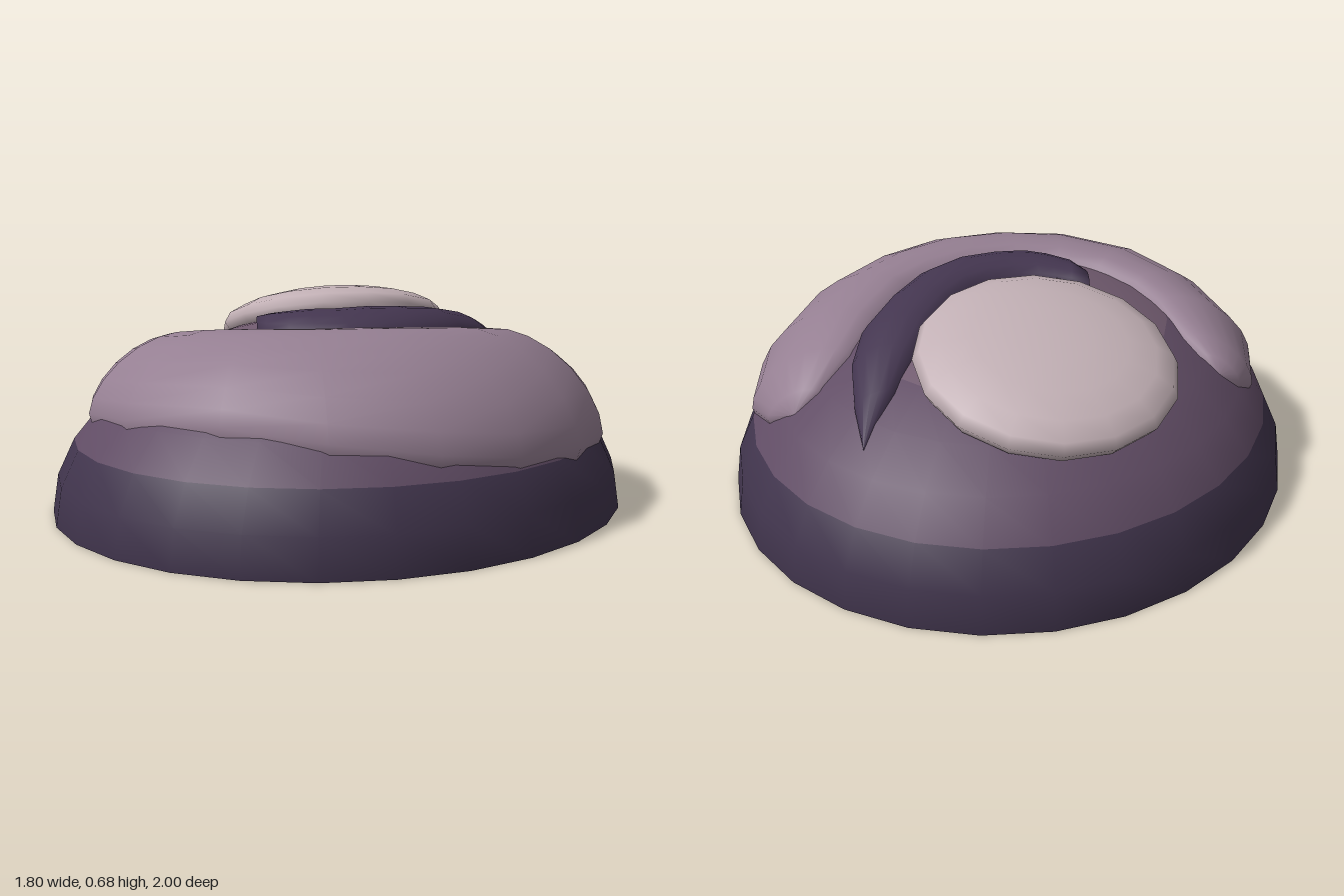
import * as THREE from 'three';

const RX = 0.9, RY = 0.6, RZ = 1; // dome radii

const material = (color, side = THREE.FrontSide) => new THREE.MeshStandardMaterial({ color, side });

function addMesh(group, name, geometry, mat) {
  const mesh = new THREE.Mesh(geometry, mat);
  mesh.name = name;
  group.add(mesh);
  return mesh;
}

const domePoint = (x, z) => new THREE.Vector3(
  x, RY * Math.sqrt(Math.max(0, 1 - (x / RX) ** 2 - (z / RZ) ** 2)), z);

const domeNormal = (p) => new THREE.Vector3(
  p.x / RX ** 2, p.y / RY ** 2, p.z / RZ ** 2).normalize();

// Band of the dome between two rings, counted from the top (8 rings in all)
function domeBand(from, to) {
  const step = Math.PI / 16;
  return new THREE.SphereGeometry(1, 28, to - from, 0, Math.PI * 2, from * step, (to - from) * step)
    .scale(RX, RY, RZ);
}

// Rounded strip lying on the dome; each station is [outerX, outerZ, innerX, innerZ, height]
function drapedStrip(stations, sides = 10) {
  const positions = [], index = [];
  for (const [ox, oz, ix, iz, height] of stations) {
    for (let j = 0; j <= sides; j++) {
      const a = Math.PI * j / sides;
      const t = (1 - Math.cos(a)) / 2;
      const p = domePoint(ox + (ix - ox) * t, oz + (iz - oz) * t);
      const lift = domeNormal(p).multiply(new THREE.Vector3(0.85, 1, 0.85));
      p.addScaledVector(lift, height * Math.sin(a));
      p.y -= 0.012;
      positions.push(p.x, p.y, p.z);
    }
  }
  const row = sides + 1;
  for (let i = 0; i < stations.length - 1; i++) {
    for (let j = 0; j < sides; j++) {
      const a = i * row + j, b = a + row;
      index.push(a, a + 1, b, a + 1, b + 1, b);
    }
  }
  const geometry = new THREE.BufferGeometry();
  geometry.setAttribute('position', new THREE.Float32BufferAttribute(positions, 3));
  geometry.setIndex(index);
  geometry.computeVertexNormals();
  return geometry;
}

export function createModel() {
  const model = new THREE.Group();
  model.name = 'layeredDome';
  const dark = material(0x40344c);

  // Dome in three coloured bands, closed underneath
  addMesh(model, 'domeCrown', domeBand(0, 3), material(0x705a6e));
  addMesh(model, 'domeShoulder', domeBand(3, 6), material(0x604c64));
  addMesh(model, 'domeRim', domeBand(6, 8), dark);
  addMesh(model, 'domeBase',
    new THREE.CircleGeometry(1, 28).rotateX(Math.PI / 2).scale(RX, 1, RZ), dark);

  // Broad swelling that sweeps around the front
  addMesh(model, 'frontSwelling', drapedStrip([
    [0.52, -0.56, 0.52, -0.56, 0],
    [0.62, -0.53, 0.45, -0.51, 0.05],
    [0.74, -0.40, 0.40, -0.38, 0.08],
    [0.82, -0.18, 0.385, -0.20, 0.095],
    [0.83, 0.10, 0.36, 0.02, 0.1],
    [0.75, 0.38, 0.29, 0.16, 0.1],
    [0.60, 0.59, 0.19, 0.27, 0.1],
    [0.35, 0.76, 0.07, 0.34, 0.095],
    [0.05, 0.82, -0.06, 0.365, 0.095],
    [-0.30, 0.77, -0.20, 0.35, 0.095],
    [-0.56, 0.60, -0.33, 0.29, 0.09],
    [-0.73, 0.38, -0.43, 0.20, 0.085],
    [-0.77, 0.12, -0.55, 0.06, 0.065],
    [-0.74, 0.03, -0.61, 0.01, 0.045],
    [-0.68, 0.00, -0.68, 0.00, 0],
  ]), material(0x957f92, THREE.DoubleSide));

  // Narrow dark crescent: pointed at the back, blunt at the front
  addMesh(model, 'crescent', drapedStrip([
    [0.22, -0.73, 0.22, -0.73, 0.01],
    [0.29, -0.62, 0.185, -0.56, 0.045],
    [0.37, -0.45, 0.175, -0.40, 0.06],
    [0.40, -0.30, 0.17, -0.25, 0.065],
    [0.38, -0.12, 0.155, -0.12, 0.065],
    [0.35, 0.05, 0.12, -0.01, 0.065],
    [0.28, 0.19, 0.06, 0.06, 0.065],
    [0.18, 0.285, 0.00, 0.11, 0.06],
    [0.08, 0.335, -0.06, 0.13, 0.06],
    [0.00, 0.345, -0.11, 0.14, 0.055],
    [-0.10, 0.32, -0.16, 0.15, 0.05],
    [-0.17, 0.25, -0.22, 0.15, 0.04],
    [-0.175, 0.245, -0.22, 0.155, -0.02],
  ], 8), material(0x443650, THREE.DoubleSide));

  // Pale flattened bump, tilted to follow the dome
  const bump = addMesh(model, 'paleBump',
    new THREE.SphereGeometry(1, 16, 10).scale(0.4, 0.11, 0.39), material(0xc2b0b5));
  const seat = domePoint(-0.21, -0.345);
  bump.quaternion.setFromUnitVectors(new THREE.Vector3(0, 1, 0), domeNormal(seat));
  bump.position.copy(seat).y -= 0.015;

  return model;
}
